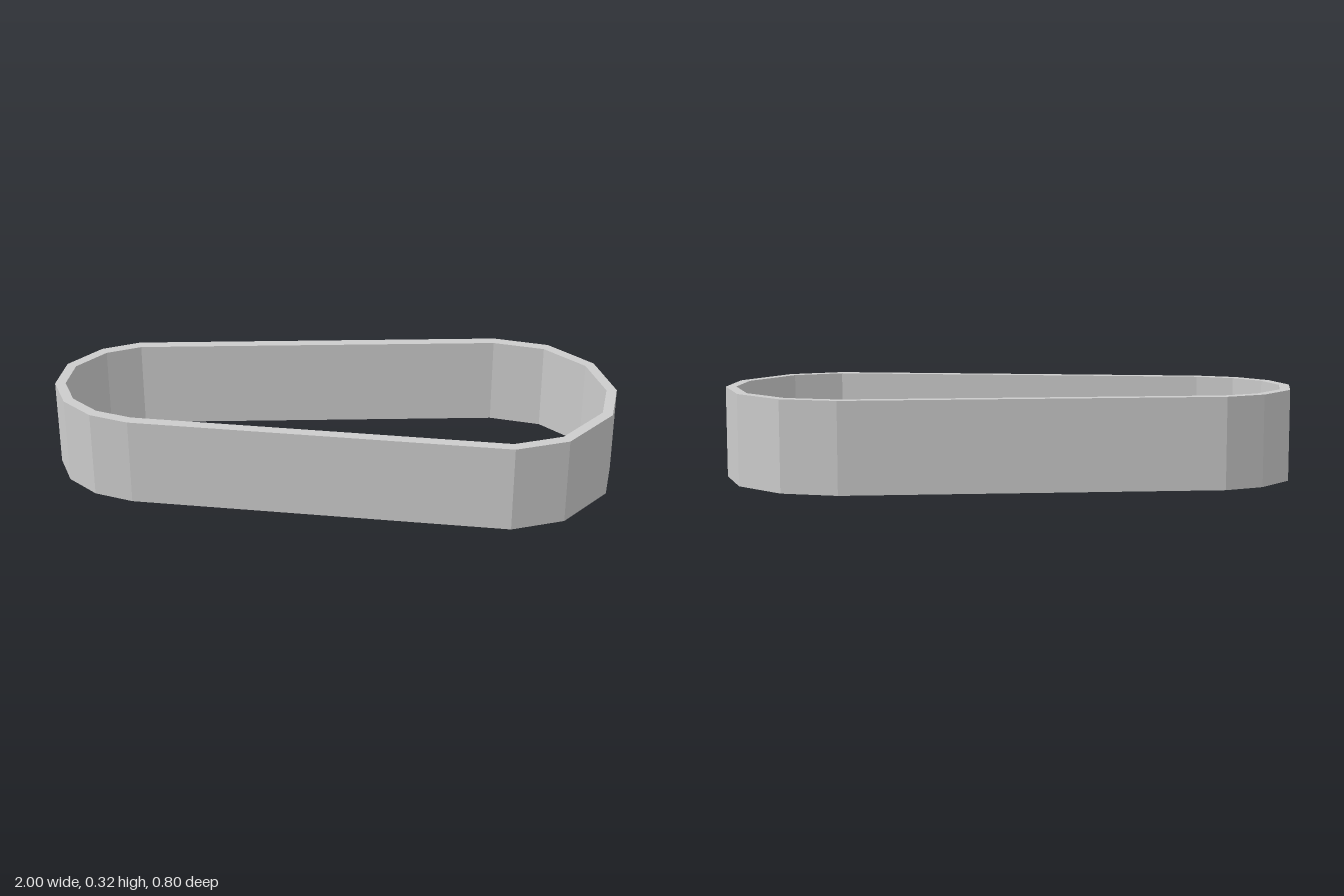
import * as THREE from 'three';

const HEIGHT = 0.322;
const WALL = 0.036;

// Outer outline of the band seen from above (x, -z), counterclockwise
const OUTLINE = [
  [1, 0], [0.945, 0.2], [0.795, 0.345], [0.6, 0.4], // wide end, back half
  [-0.72, 0.388], [-0.857, 0.34], [-0.972, 0.225], [-1, 0.08], // narrow end
  [-0.955, -0.05], [-0.855, -0.147], [-0.72, -0.2],
  [0.6, -0.4], [0.79, -0.35], [0.96, -0.175], // wide end, front half
].map(([x, y]) => new THREE.Vector2(x, y));

// Moves every edge of a counterclockwise outline inward, with mitred corners
function insetOutline(points, distance) {
  const count = points.length;
  const normals = points.map((p, i) => {
    const edge = points[(i + 1) % count].clone().sub(p).normalize();
    return new THREE.Vector2(-edge.y, edge.x);
  });
  return points.map((p, i) => {
    const before = normals[(i + count - 1) % count];
    const after = normals[i];
    const miter = before.clone().add(after).divideScalar(1 + before.dot(after));
    return p.clone().addScaledVector(miter, distance);
  });
}

export function createModel() {
  const group = new THREE.Group();
  group.name = 'beltLoop';

  // Closed tapered band: the outline with its inset as a hole
  const shape = new THREE.Shape(OUTLINE);
  shape.holes.push(new THREE.Path(insetOutline(OUTLINE, WALL)));
  const geometry = new THREE.ExtrudeGeometry(shape, { depth: HEIGHT, bevelEnabled: false });
  geometry.rotateX(-Math.PI / 2);

  const material = new THREE.MeshStandardMaterial({ color: 0xcccccc, flatShading: true });
  const band = new THREE.Mesh(geometry, material);
  band.name = 'band';
  group.add(band);
  return group;
}
